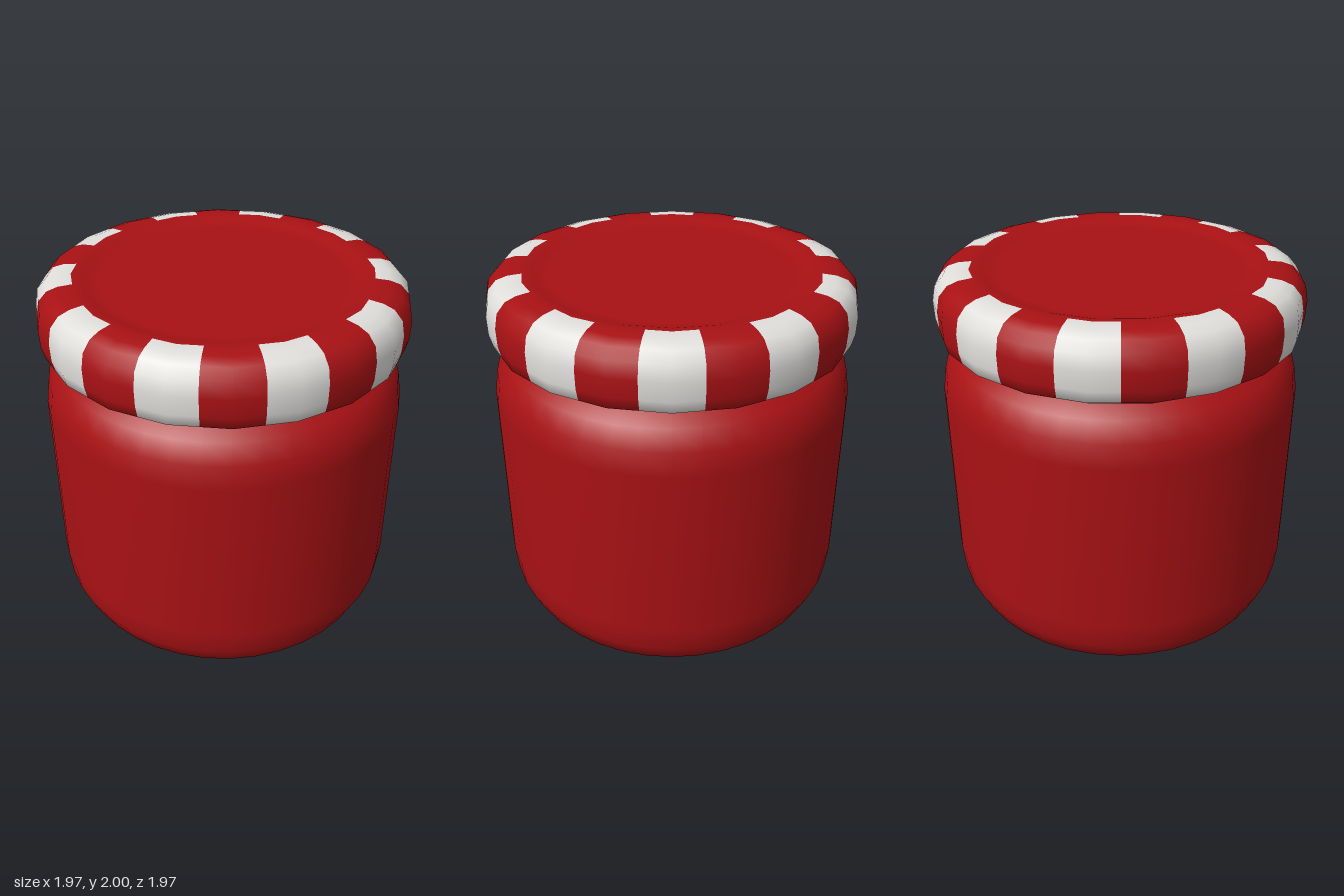
import * as THREE from 'three';

const red = new THREE.MeshStandardMaterial({ color: 0xa81114 });
red.name = 'deepRed';
const white = new THREE.MeshStandardMaterial({ color: 0xe0dfdc });
white.name = 'offWhite';

const SEGMENTS = 40;
const toPoints = (list) => list.map(([r, y]) => new THREE.Vector2(r, y));

// Round jar with soft shoulders and a short neck, profile from base to neck
function makeJar() {
  const profile = toPoints([
    [0, 0], [0.74, 0], [0.79, 0.005], [0.915, 0.055], [0.967, 0.17], [0.983, 0.32],
    [0.983, 1.32], [0.963, 1.45], [0.905, 1.545], [0.825, 1.59], [0.81, 1.61], [0.82, 1.66],
  ]);
  const jar = new THREE.Mesh(new THREE.LatheGeometry(profile, SEGMENTS), red);
  jar.name = 'jarBody';
  return jar;
}

// Twenty-sided lid with a rounded, striped rim and a slightly sunken top
function makeLid() {
  const profile = toPoints([
    [0, 1.632], [0.8, 1.632], [0.87, 1.635], [0.92, 1.643], [0.974, 1.675], [0.99, 1.74],
    [0.993, 1.84], [0.977, 1.92], [0.93, 1.972], [0.87, 1.993], [0.795, 2],
    [0.74, 1.99], [0.7, 1.977], [0.66, 1.975], [0, 1.975],
  ]);
  const whiteFrom = 2; // first and last profile steps of the white stripes
  const whiteTo = 10;
  const rows = profile.length;
  const geometry = new THREE.LatheGeometry(profile, SEGMENTS);

  // Pull every second column in to the middle of a straight side
  const position = geometry.attributes.position;
  const inset = Math.cos((2 * Math.PI) / SEGMENTS);
  for (let i = 0; i <= SEGMENTS; i += 2) {
    for (let j = 0; j < rows; j++) {
      const k = i * rows + j;
      position.setX(k, position.getX(k) * inset);
      position.setZ(k, position.getZ(k) * inset);
    }
  }

  // Alternate red and white stripes, each two segments wide
  const column = (rows - 1) * 6;
  for (let i = 0; i < SEGMENTS; i++) {
    const start = i * column;
    if (Math.floor(i / 2) % 2 === 0) {
      geometry.addGroup(start, column, 0);
    } else {
      geometry.addGroup(start, whiteFrom * 6, 0);
      geometry.addGroup(start + whiteFrom * 6, (whiteTo - whiteFrom) * 6, 1);
      geometry.addGroup(start + whiteTo * 6, column - whiteTo * 6, 0);
    }
  }
  const lid = new THREE.Mesh(geometry, [red, white]);
  lid.name = 'stripedLid';
  return lid;
}

export function createModel() {
  const group = new THREE.Group();
  group.name = 'jar';
  group.add(makeJar(), makeLid());
  return group;
}
